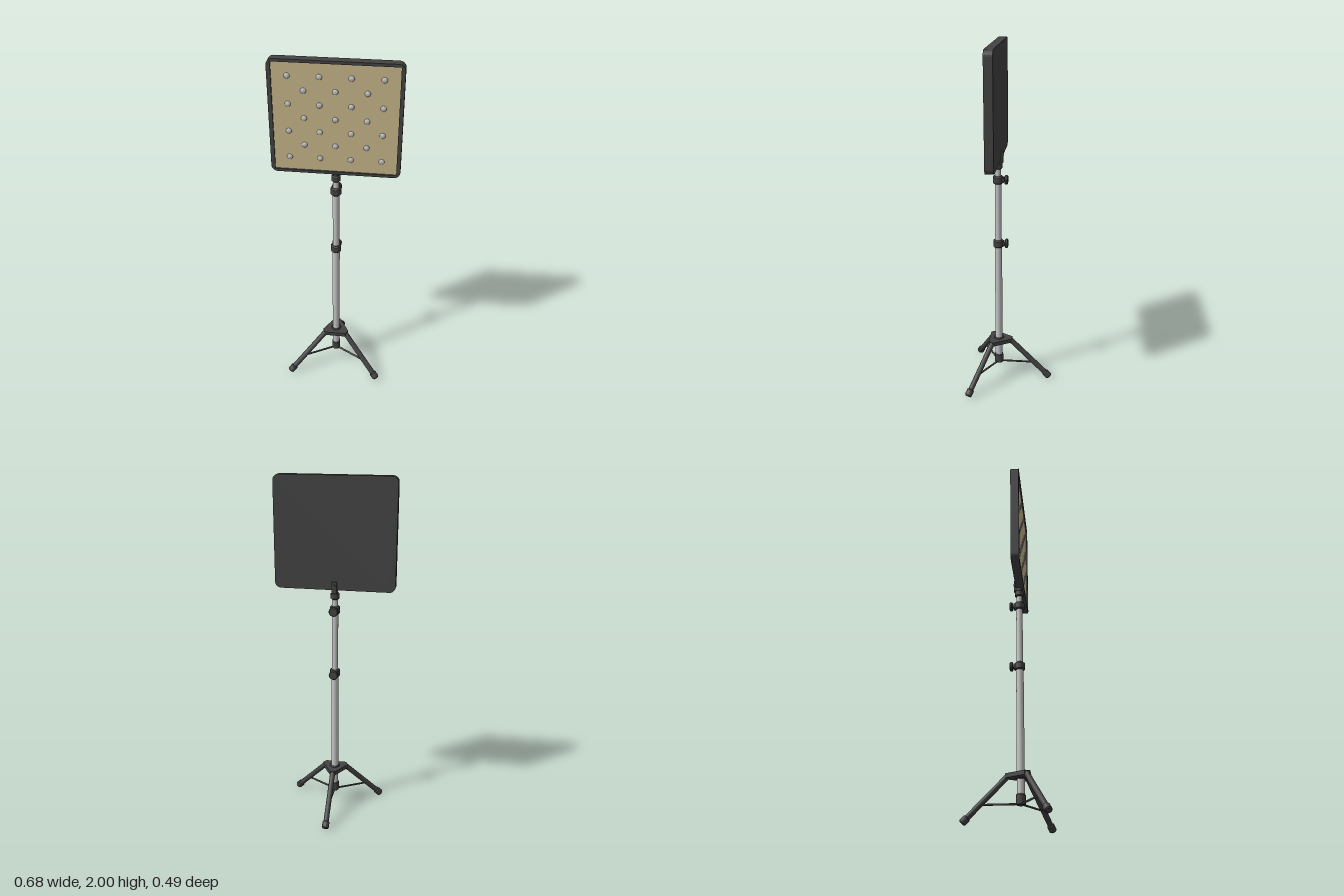
import * as THREE from 'three';
import { toCreasedNormals } from 'three/addons/utils/BufferGeometryUtils.js';

const POLE_Z = 0.074;

export function createModel() {
  const root = new THREE.Group();
  root.name = 'standWithPanel';
  const dark = new THREE.MeshStandardMaterial({ color: 0x434343 });
  dark.name = 'dark plastic';
  const silver = new THREE.MeshStandardMaterial({ color: 0xc6c6c6 });
  silver.name = 'silver metal';
  const tan = new THREE.MeshStandardMaterial({ color: 0xc9b88c });
  tan.name = 'tan face';

  // Everything on the stand is built around the pole axis
  const stand = new THREE.Group();
  stand.name = 'stand';
  stand.position.z = POLE_Z;
  root.add(stand);

  const add = (parent, name, geo, mat, x = 0, y = 0, z = 0) => {
    const m = new THREE.Mesh(geo, mat);
    m.name = name;
    m.position.set(x, y, z);
    parent.add(m);
    return m;
  };
  // Cylinder between two points
  const rod = (parent, name, a, b, r, mat, seg = 16) => {
    const dir = b.clone().sub(a);
    const m = add(parent, name, new THREE.CylinderGeometry(r, r, dir.length(), seg), mat);
    m.position.copy(a).add(b).multiplyScalar(0.5);
    m.quaternion.setFromUnitVectors(new THREE.Vector3(0, 1, 0), dir.normalize());
    return m;
  };
  // Ring-like solid with chamfered edges, centred on its own origin
  const chamfered = (r, h, c = 0.006) => toCreasedNormals(new THREE.LatheGeometry([
    [0, -h / 2], [r - c, -h / 2], [r, -h / 2 + c], [r, h / 2 - c], [r - c, h / 2], [0, h / 2],
  ].map(p => new THREE.Vector2(...p)), 20), 0.6);
  const V = (x, y, z) => new THREE.Vector3(x, y, z);

  // Telescopic pole
  rod(stand, 'lowerPole', V(0, 0.11, 0), V(0, 0.87, 0), 0.021, silver, 24);
  rod(stand, 'middlePole', V(0, 0.87, 0), V(0, 1.25, 0), 0.0185, silver, 24);
  rod(stand, 'upperPole', V(0, 1.25, 0), V(0, 1.33, 0), 0.016, silver, 24);
  add(stand, 'lowerCollar', chamfered(0.025, 0.058, 0.004), dark, 0, 0.13, 0);
  add(stand, 'topCollar', chamfered(0.025, 0.038), dark, 0, 1.338, 0);

  // Clamps with a thumb knob at the back
  for (const y of [0.877, 1.257]) {
    const clamp = new THREE.Group();
    clamp.name = 'poleClamp';
    clamp.position.y = y;
    stand.add(clamp);
    add(clamp, 'clampRing', chamfered(0.029, 0.046), dark);
    add(clamp, 'clampLug', new THREE.BoxGeometry(0.028, 0.03, 0.014), dark, 0, 0, -0.027);
    rod(clamp, 'knobStem', V(0, 0, -0.025), V(0, 0, -0.045), 0.008, dark);
    add(clamp, 'knob', chamfered(0.027, 0.017, 0.004), dark, 0, 0, -0.047).rotation.x = Math.PI / 2;
  }

  // Triangular hub with cut corners
  const hubShape = new THREE.Shape();
  for (let i = 0; i < 3; i++) {
    const a = Math.PI / 2 + i * Math.PI * 2 / 3;
    for (const s of [-0.016, 0.016]) {
      const x = 0.08 * Math.cos(a) - s * Math.sin(a);
      const y = 0.08 * Math.sin(a) + s * Math.cos(a);
      if (i === 0 && s < 0) hubShape.moveTo(x, y); else hubShape.lineTo(x, y);
    }
  }
  const hubGeo = new THREE.ExtrudeGeometry(hubShape, { depth: 0.024, bevelEnabled: false });
  hubGeo.rotateX(-Math.PI / 2);
  add(stand, 'legHub', hubGeo, dark, 0, 0.243, 0);
  add(stand, 'hubCollar', chamfered(0.029, 0.036, 0.004), dark, 0, 0.255, 0);

  // Three legs, each with a rubber foot and a brace; local +x points outward
  for (let i = 0; i < 3; i++) {
    const leg = new THREE.Group();
    leg.name = ['backLeg', 'rightLeg', 'leftLeg'][i];
    leg.rotation.y = Math.PI / 2 + i * Math.PI * 2 / 3;
    stand.add(leg);
    const top = V(0.071, 0.252, 0), end = V(0.307, 0.0146, 0);
    rod(leg, 'legTube', top, end.clone().lerp(top, 0.05), 0.0155, dark);
    add(leg, 'legJoint', new THREE.SphereGeometry(0.0155, 16, 10), dark, top.x, top.y, 0);
    const foot = add(leg, 'foot', chamfered(0.0205, 0.044), dark);
    const out = end.clone().sub(top).normalize();
    foot.position.copy(end).addScaledVector(out, -0.022);
    foot.quaternion.setFromUnitVectors(V(0, 1, 0), out);
    rod(leg, 'brace', V(0.015, 0.108, 0), V(0.212, 0.108, 0), 0.0055, dark, 8);
  }

  // Panel tray: rounded slab plus a raised rim
  const panel = new THREE.Group();
  panel.name = 'panel';
  panel.position.set(0, 1.6875, 0);
  root.add(panel);
  const W = 0.34, H = 0.3125, R = 0.034;
  const outline = () => {
    const s = new THREE.Shape();
    s.absarc(W - R, H - R, R, 0, Math.PI / 2);
    s.absarc(-W + R, H - R, R, Math.PI / 2, Math.PI);
    s.absarc(-W + R, -H + R, R, Math.PI, Math.PI * 1.5);
    s.absarc(W - R, -H + R, R, Math.PI * 1.5, Math.PI * 2);
    s.closePath();
    return s;
  };
  const extrude = (shape, depth) => toCreasedNormals(
    new THREE.ExtrudeGeometry(shape, { depth, bevelEnabled: false, curveSegments: 6 }), 0.6);
  add(panel, 'panelBack', extrude(outline(), 0.036), dark, 0, 0, 0.055);
  const rim = outline();
  const w = 0.319, h = 0.297;
  rim.holes.push(new THREE.Path([[-w, -h], [-w, h], [w, h], [w, -h]].map(p => new THREE.Vector2(...p))));
  add(panel, 'panelRim', extrude(rim, 0.012), dark, 0, 0, 0.091);
  add(panel, 'panelFace', new THREE.BoxGeometry(2 * w, 2 * h, 0.004), tan, 0, 0, 0.093);

  // Staggered rows of small domed studs
  const dome = new THREE.SphereGeometry(0.0155, 14, 5, 0, Math.PI * 2, 0, Math.PI / 2);
  dome.rotateX(Math.PI / 2);
  dome.scale(1, 1, 0.45);
  for (let row = 0; row < 7; row++) {
    const n = row % 2 ? 3 : 4;
    for (let c = 0; c < n; c++) {
      add(panel, 'stud', dome, silver, (c - (n - 1) / 2) * 0.16, (3 - row) * 0.075, 0.095);
    }
  }

  // Neck and bracket joining the panel to the pole
  add(stand, 'neck', new THREE.CylinderGeometry(0.014, 0.018, 0.03, 16), dark, 0, 1.366, 0);
  add(stand, 'bracketFoot', new THREE.BoxGeometry(0.03, 0.018, 0.04), dark, 0, 1.367, -0.008);
  add(stand, 'bracketPlate', new THREE.BoxGeometry(0.03, 0.064, 0.012), dark, 0, 1.39, -0.024);
  rod(stand, 'bracketBolt', V(0, 1.402, -0.028), V(0, 1.402, -0.034), 0.008, dark, 12);

  return root;
}
